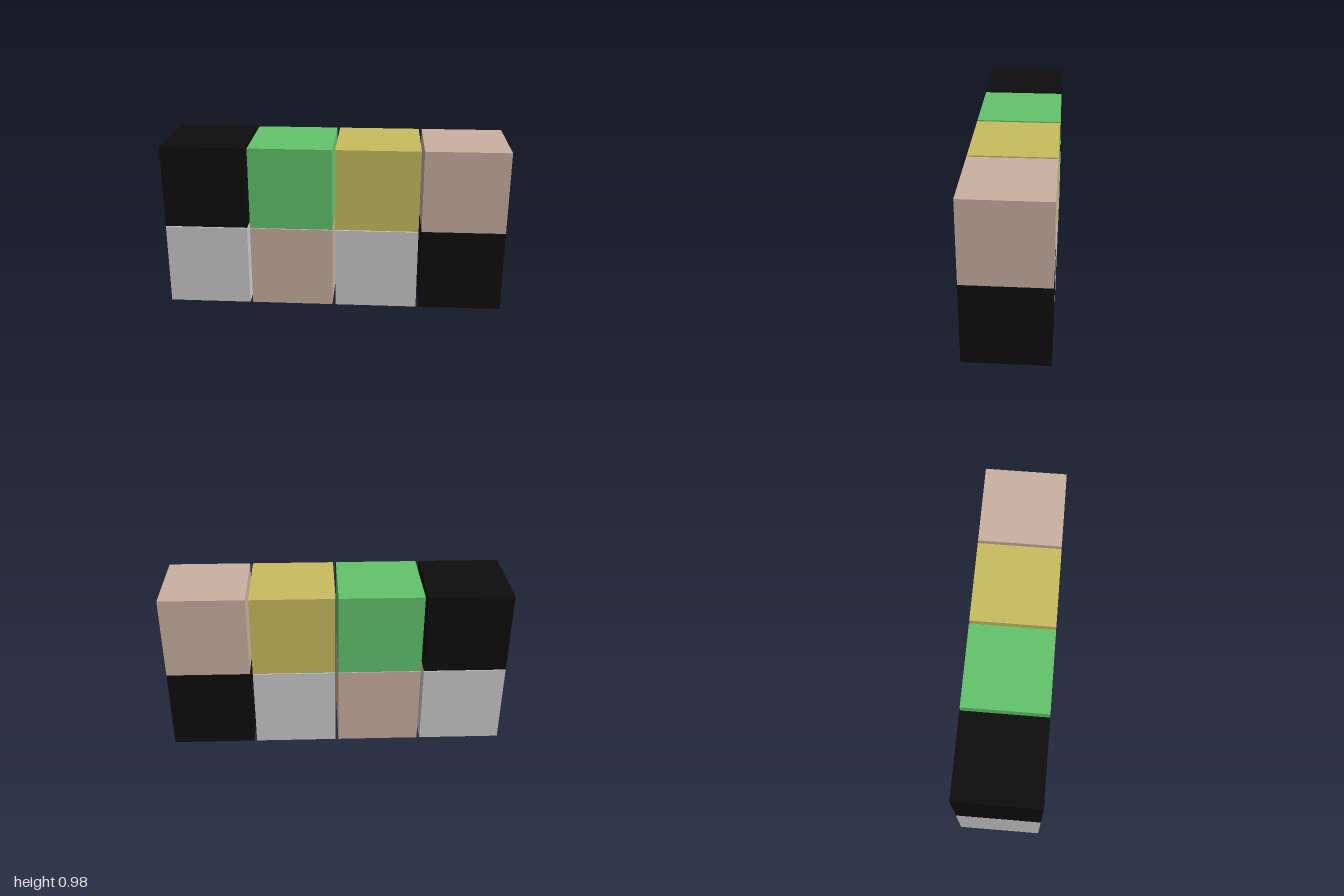
import * as THREE from 'three';

const COLORS = { black: 0x0d0d0d, green: 0x62c46b, yellow: 0xc9bd5e, pink: 0xcab0a1, grey: 0xcccccc };

// Colour of each cube, from the model's right (-x) to its left (+x)
const ROWS = [
  { name: 'lower', y: 0.2435, colors: ['grey', 'pink', 'grey', 'black'] },
  { name: 'upper', y: 0.7345, colors: ['black', 'green', 'yellow', 'pink'] },
];
const SIDE = 0.487;
const PITCH = 0.5043;

export function createModel() {
  const model = new THREE.Group();
  model.name = 'cubeWall';

  const cube = new THREE.BoxGeometry(SIDE, SIDE, SIDE);
  const materials = {};
  for (const [name, color] of Object.entries(COLORS)) {
    materials[name] = new THREE.MeshStandardMaterial({ color });
  }

  // Two rows of four cubes with narrow gaps between them
  for (const row of ROWS) {
    const group = new THREE.Group();
    group.name = row.name + 'Row';
    row.colors.forEach((color, i) => {
      const mesh = new THREE.Mesh(cube, materials[color]);
      mesh.name = `${row.name}Cube${i + 1}`;
      mesh.position.set((i - 1.5) * PITCH, row.y, 0);
      group.add(mesh);
    });
    model.add(group);
  }
  return model;
}
